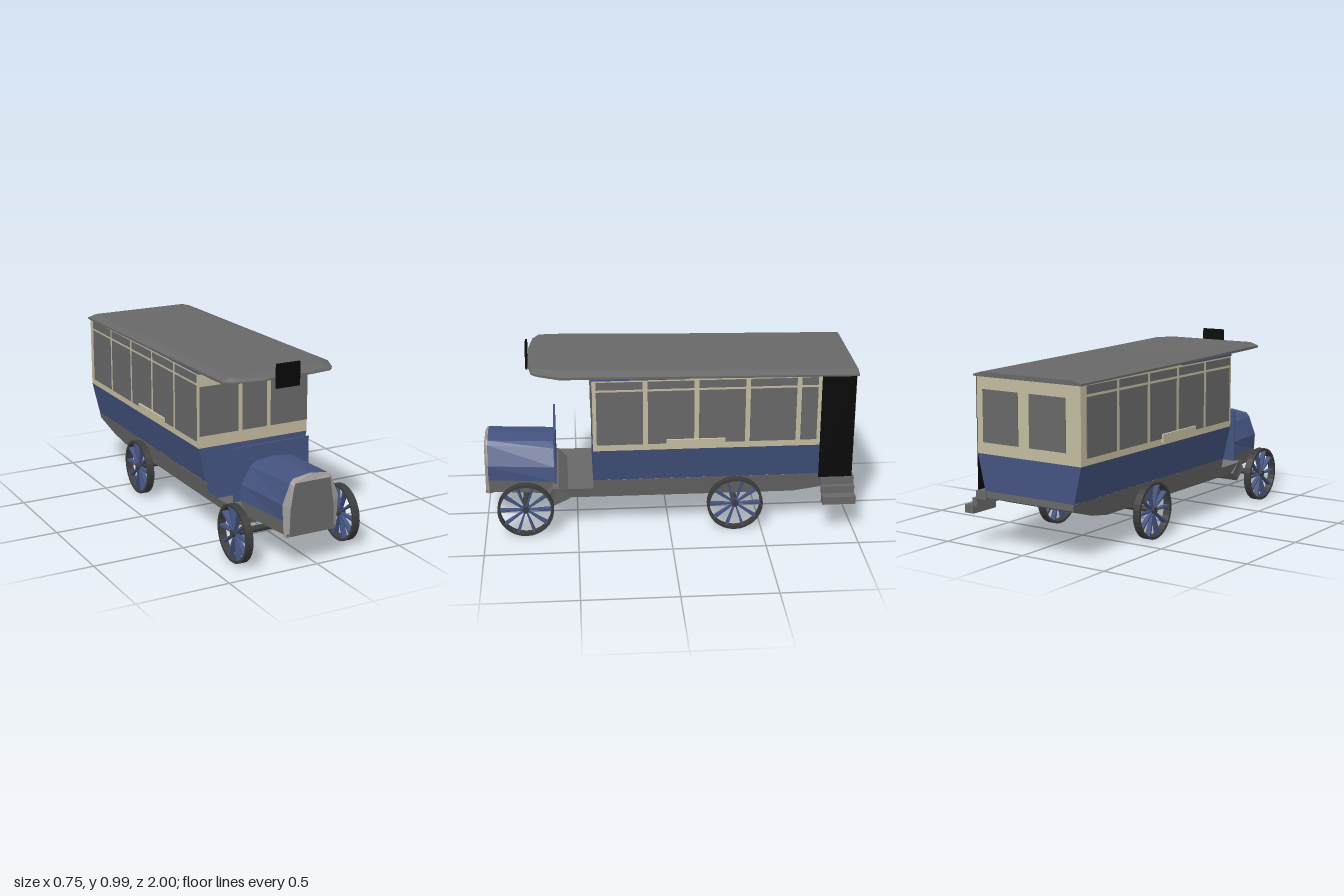
import * as THREE from 'three';

const mat = (name, color) => new THREE.MeshStandardMaterial({ name, color, side: THREE.DoubleSide });

// Flat-shaded skin through rows of [x, y, z] points
function loft(rows, { closed = true, caps = false } = {}) {
  const pos = [];
  const tri = (a, b, c) => pos.push(...a, ...b, ...c);
  const n = rows[0].length;
  for (let r = 0; r < rows.length - 1; r++) {
    for (let i = 0; i < (closed ? n : n - 1); i++) {
      const j = (i + 1) % n;
      tri(rows[r][i], rows[r][j], rows[r + 1][j]);
      tri(rows[r][i], rows[r + 1][j], rows[r + 1][i]);
    }
  }
  if (caps) {
    const a = rows[0], b = rows[rows.length - 1];
    for (let i = 1; i < n - 1; i++) {
      tri(a[0], a[i + 1], a[i]);
      tri(b[0], b[i], b[i + 1]);
    }
  }
  const g = new THREE.BufferGeometry();
  g.setAttribute('position', new THREE.Float32BufferAttribute(pos, 3));
  g.computeVertexNormals();
  return g;
}

// Mirrors a half profile (bottom to top centre) into a full arch at depth z
const arch = (half, z) => [
  ...half.map(([x, y]) => [x, y, z]),
  ...half.slice(0, -1).reverse().map(([x, y]) => [-x, y, z]),
];

export function createModel() {
  const blue = mat('blue paint', 0x445380);
  const cream = mat('cream paint', 0xc4bb9f);
  const grey = mat('grey', 0x686868);
  const pale = mat('pale metal', 0xa39e9d);
  const dark = mat('dark rubber', 0x3c3c3c);
  const black = mat('black', 0x080808);

  const model = new THREE.Group();
  model.name = 'oldBus';
  const bus = new THREE.Group();
  bus.name = 'bus';
  bus.position.x = -0.036;
  model.add(bus);

  const add = (name, geo, material, parent = bus) => {
    const m = new THREE.Mesh(geo, material);
    m.name = name;
    parent.add(m);
    return m;
  };
  // Box given by its extents on each axis
  const box = (name, material, [x0, x1], [y0, y1], [z0, z1]) => {
    const m = add(name, new THREE.BoxGeometry(x1 - x0, y1 - y0, z1 - z0), material);
    m.position.set((x0 + x1) / 2, (y0 + y1) / 2, (z0 + z1) / 2);
    return m;
  };

  // Passenger body, open below
  const rect = (hw, y) => [[hw, y, 0.41], [hw, y, -0.99], [-hw, y, -0.99], [-hw, y, 0.41]];
  add('upperBody', loft([rect(0.325, 0.49), rect(0.325, 0.895)]), cream);
  add('lowerBody', loft([rect(0.281, 0.3), rect(0.325, 0.49)]), blue);
  add('frontPanel', loft([
    [[-0.262, 0.2, 0.41], [0.262, 0.2, 0.41]],
    [[-0.281, 0.3, 0.41], [0.281, 0.3, 0.41]],
  ], { closed: false }), blue);
  box('roofRail', blue, [-0.326, 0.326], [0.888, 0.905], [-0.1, 0.412]);

  // Side windows, large panes with small lights above
  for (const s of [1, -1]) {
    const xs = s > 0 ? [0.325, 0.329] : [-0.329, -0.325];
    for (let i = 0; i < 5; i++) {
      const z1 = 0.39 - i * 0.272;
      const z0 = s > 0 && i === 4 ? -0.785 : z1 - 0.246;
      box('sideWindow', grey, xs, [0.525, 0.825], [z0, z1]);
      box('upperWindow', grey, xs, [0.838, 0.88], [z0, z1]);
    }
    box('sideBoard', cream, s > 0 ? [0.325, 0.341] : [-0.341, -0.325], [0.505, 0.55], [-0.295, 0.02]);
  }
  // Front and rear windows
  for (const [a, b, top] of [[-0.319, -0.094, 0.82], [-0.069, 0.076, 0.815], [0.101, 0.323, 0.82]]) {
    box('frontWindow', grey, [a, b], [0.555, top], [0.41, 0.414]);
  }
  for (const [a, b] of [[0.06, 0.285], [-0.235, -0.01]]) {
    box('rearWindow', grey, [a, b], [0.55, 0.82], [-0.994, -0.99]);
  }
  box('door', black, [0.326, 0.331], [0.3, 0.885], [-0.987, -0.805]);

  // Steps below the door
  for (const [x0, x1, y] of [[0.27, 0.335, 0.255], [0.331, 0.361, 0.213], [0.356, 0.412, 0.172]]) {
    box('step', grey, [x0, x1], [y, y + 0.043], [-1, -0.82]);
  }

  // Roof with overhanging canopy: z, left x, right x, bottom, crown
  const roofRow = ([z, l, r, b, t]) => {
    const e = b + (t - b) * 0.4;
    return [[l, b, z], [r, b, z], [r, e, z], [r - 0.05, t, z], [l + 0.05, t, z], [l, e, z]];
  };
  add('roof', loft([
    [-1, -0.335, 0.338, 0.884, 0.908],
    [0.1, -0.338, 0.34, 0.898, 0.929],
    [0.58, -0.338, 0.34, 0.906, 0.94],
    [0.69, -0.338, 0.295, 0.91, 0.938],
    [0.725, -0.28, 0.265, 0.911, 0.93],
    [0.745, -0.14, 0.14, 0.912, 0.923],
  ].map(roofRow), { caps: true }), grey);
  box('signBoard', black, [-0.069, 0.066], [0.867, 0.992], [0.747, 0.759]);

  // Chassis skirts: z, top y, bottom y
  const skirt = [[0.62, 0.245, 0.19], [0.411, 0.245, 0.189], [0.41, 0.3, 0.189], [-0.68, 0.3, 0.187],
    [-0.82, 0.3, 0.21], [-0.99, 0.3, 0.265]];
  const hwAt = (y) => 0.281 - (0.3 - y) * 0.23;
  for (const s of [1, -1]) {
    add('chassisSkirt', loft(skirt.map(([z, t, b]) => [
      [s * (hwAt(t) + 0.001), t, z], [s * (hwAt(b) + 0.001), b, z],
    ]), { closed: false }), grey);
  }
  const across = (z, y) => [[-hwAt(y), y, z], [hwAt(y), y, z]];
  add('rearFloor', loft([across(-0.72, 0.193), across(-0.82, 0.21), across(-0.99, 0.265), across(-0.99, 0.3)],
    { closed: false }), grey);
  add('cabFloor', loft([across(0.62, 0.2), across(0.41, 0.2)], { closed: false }), grey);

  // Toe board under the dash
  add('toeBoard', loft([[-0.27, -0.24], [-0.21, -0.21], [0.21, 0.21], [0.27, 0.24]].map(([x, lx]) => [
    [lx, 0.128, 0.64], [x, 0.19, 0.54], [x, 0.25, 0.6], [x, 0.25, 0.63], [x, 0.2, 0.66],
  ]), { caps: true }), grey);
  box('dashboard', blue, [-0.234, 0.208], [0.2, 0.54], [0.612, 0.622]);

  // Bonnet, its grey sill and the radiator
  const rearHalf = [[0.2, 0.26], [0.19, 0.34], [0.14, 0.43], [0.1, 0.456], [0, 0.467]];
  const frontHalf = [[0.156, 0.26], [0.16, 0.345], [0.118, 0.452], [0.1, 0.472], [0, 0.486]];
  add('bonnet', loft([arch(rearHalf, 0.62), arch(frontHalf, 0.982)], { closed: false }), blue);
  const sill = (hw, z) => [[hw, 0.26, z], [hw - 0.01, 0.185, z], [-hw + 0.01, 0.185, z], [-hw, 0.26, z]];
  add('bonnetSill', loft([sill(0.2, 0.62), sill(0.156, 0.982)], { caps: true }), grey);
  const outer = [[0.15, 0.175], [0.16, 0.345], [0.118, 0.452], [0.1, 0.472], [0, 0.487]];
  const inner = [[0.128, 0.175], [0.124, 0.32], [0.104, 0.435], [0.098, 0.452], [0, 0.453]];
  add('radiatorFrame', loft([arch(outer, 0.98), arch(outer, 0.986), arch(inner, 1)], { closed: false }), pale);
  const core = new THREE.Shape(arch(inner, 0).map(([x, y]) => new THREE.Vector2(x, y)));
  add('radiatorCore', new THREE.ShapeGeometry(core), grey).position.z = 0.9995;
  box('radiatorBase', grey, [-0.14, 0.14], [0.175, 0.19], [0.96, 0.999]);

  // Spoked wheels and axles
  const rimShape = new THREE.Shape().absarc(0, 0, 0.152, 0, Math.PI * 2);
  rimShape.holes.push(new THREE.Path().absarc(0, 0, 0.138, 0, Math.PI * 2, true));
  const rimGeo = new THREE.ExtrudeGeometry(rimShape, { depth: 0.04, bevelEnabled: false, curveSegments: 16 });
  rimGeo.translate(0, 0, -0.02);
  const slice = (y, w, d) => [[-w, y, -d], [w, y, -d], [w, y, d], [-w, y, d]];
  const spokeGeo = loft([slice(0.01, 0.003, 0.008), slice(0.14, 0.007, 0.016)], { caps: true });
  const hubGeo = new THREE.CylinderGeometry(0.016, 0.016, 0.042, 12).rotateX(Math.PI / 2);
  for (const z of [0.78, -0.355]) {
    const axle = add('axle', new THREE.CylinderGeometry(0.017, 0.017, 0.665, 12).rotateZ(Math.PI / 2), dark);
    axle.position.set(0, 0.156, z);
    for (const s of [1, -1]) {
      const wheel = new THREE.Group();
      wheel.name = 'wheel';
      wheel.position.set(s * 0.312, 0.153, z);
      wheel.rotation.y = Math.PI / 2;
      bus.add(wheel);
      add('tyre', rimGeo, dark, wheel);
      add('hub', hubGeo, dark, wheel);
      for (let i = 0; i < 10; i++) {
        add('spoke', spokeGeo, blue, wheel).rotation.z = (i + 0.5) * Math.PI / 5;
      }
    }
  }
  return model;
}
